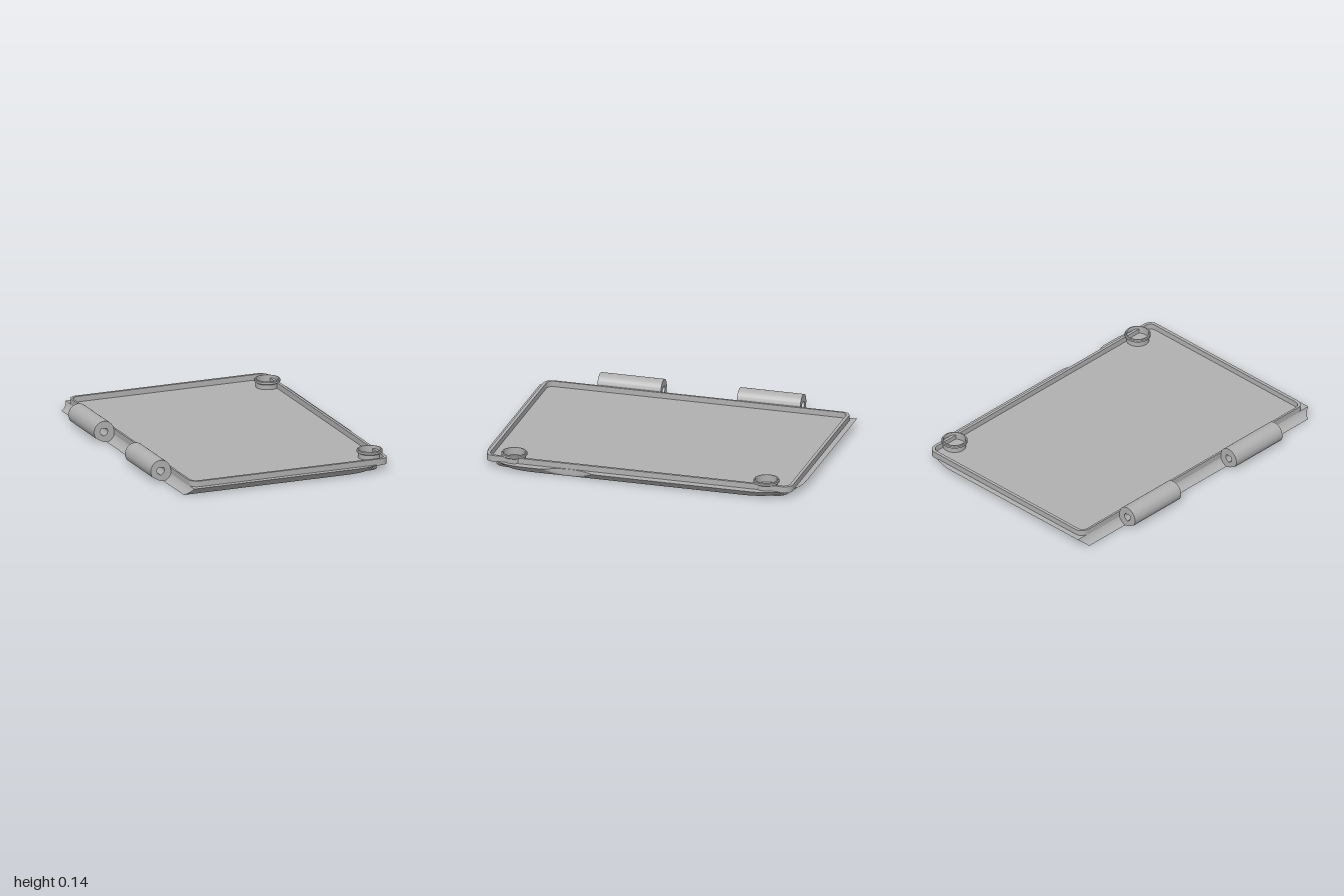
import * as THREE from 'three';
import { mergeGeometries, toCreasedNormals } from 'three/addons/utils/BufferGeometryUtils.js';

const EDGE_Y = 0.045; // height of the widest edge of the plate
const HINGE = { x: -0.677, y: 0.07, r: 0.065 };

// Plate outline at height y, as (x, z): flared sides, hollowed hinge edge, thumb notch.
function outline(y) {
  const inset = 0.05 * (1 - y / EDGE_Y);
  const xl = HINGE.x + Math.sqrt(0.0053 - (y - HINGE.y) ** 2);
  const xr = 0.737 - inset, zm = 1 - inset, a = 0.29, b = 0.3, p = 2 / 2.4;
  const half = [new THREE.Vector2(xl, -zm)];
  for (let i = 0; i <= 20; i++) {
    const t = (i / 20) * Math.PI / 2;
    half.push(new THREE.Vector2(
      xr - a + a * Math.max(0, Math.sin(t)) ** p,
      -zm + b - b * Math.max(0, Math.cos(t)) ** p));
  }
  const points = [...half];
  const z0 = -zm + b, steps = 60;
  for (let i = 1; i < steps; i++) {
    const z = z0 + (-2 * z0 * i) / steps;
    const notch = 0.69 + 0.05 * ((z - 0.43) / 0.165) ** 2;
    points.push(new THREE.Vector2(Math.min(xr, notch), z));
  }
  for (const v of half.reverse()) points.push(new THREE.Vector2(v.x, -v.y));
  return points;
}

// Wall through a stack of outlines.
function loft(heights) {
  const pos = [], idx = [];
  const rings = heights.map(outline), n = rings[0].length;
  rings.forEach((ring, k) => ring.forEach(v => pos.push(v.x, heights[k], v.y)));
  for (let k = 0; k < rings.length - 1; k++) {
    for (let i = 0; i < n; i++) {
      const a = k * n + i, b = k * n + (i + 1) % n;
      idx.push(a, a + n, b, b, a + n, b + n);
    }
  }
  const g = new THREE.BufferGeometry();
  g.setAttribute('position', new THREE.Float32BufferAttribute(pos, 3));
  g.setIndex(idx);
  return toCreasedNormals(g, 0.6);
}

// Rounded rectangle as a Shape or Path.
function roundRect(Type, x0, x1, zm, r) {
  const s = new Type();
  s.moveTo(x0 + r, -zm);
  s.lineTo(x1 - r, -zm);
  s.absarc(x1 - r, -zm + r, r, -Math.PI / 2, 0);
  s.lineTo(x1, zm - r);
  s.absarc(x1 - r, zm - r, r, 0, Math.PI / 2);
  s.lineTo(x0 + r, zm);
  s.absarc(x0 + r, zm - r, r, Math.PI / 2, Math.PI);
  s.lineTo(x0, -zm + r);
  s.absarc(x0 + r, -zm + r, r, Math.PI, Math.PI * 1.5);
  return s;
}

export function createModel() {
  const model = new THREE.Group();
  model.name = 'hingedLid';
  const grey = new THREE.MeshStandardMaterial({ color: 0xb0b0b0 });
  grey.name = 'grey plastic';
  const add = (name, geometry, parent = model) => {
    const mesh = new THREE.Mesh(geometry, grey);
    mesh.name = name;
    parent.add(mesh);
    return mesh;
  };

  // Plate: flared wall, flat top and a bottom frame round the patterned panel
  const plate = new THREE.Group();
  plate.name = 'plate';
  model.add(plate);
  add('plateWall', loft([0, 0.008, 0.016, 0.024, 0.032, EDGE_Y]), plate);
  const top = new THREE.Shape(outline(EDGE_Y).map(v => new THREE.Vector2(v.x, -v.y)));
  add('plateTop', new THREE.ShapeGeometry(top).rotateX(-Math.PI / 2).translate(0, EDGE_Y, 0), plate);
  const px0 = -0.6, px1 = 0.64, pz = 0.91, depth = 0.006;
  const bottom = new THREE.Shape(outline(0));
  bottom.holes.push(roundRect(THREE.Path, px0, px1, pz, 0.06));
  add('bottomFrame', new THREE.ShapeGeometry(bottom).rotateX(Math.PI / 2), plate);
  const frame = roundRect(THREE.Shape, px0 - 0.01, px1 + 0.01, pz + 0.01, 0.07);
  frame.holes.push(roundRect(THREE.Path, px0, px1, pz, 0.06));
  add('recessWall', new THREE.ExtrudeGeometry(frame, { depth, bevelEnabled: false })
    .rotateX(Math.PI / 2).translate(0, depth + 0.0005, 0), plate);
  add('recessPanel', new THREE.ShapeGeometry(roundRect(THREE.Shape, px0, px1, pz, 0.06))
    .rotateX(Math.PI / 2).translate(0, depth, 0), plate);

  // Interlaced relief rings on the underside
  const rings = [];
  const pitchX = 0.148, pitchZ = 0.166;
  for (let row = 0; row < 8; row++) {
    const count = row % 2 ? 10 : 11;
    for (let i = 0; i < count; i++) {
      const x = 0.02 + (row - 3.5) * pitchX, z = (i - (count - 1) / 2) * pitchZ;
      for (const r of [0.085, 0.045]) {
        rings.push(new THREE.TorusGeometry(r, 0.01, 4, 24).rotateX(Math.PI / 2)
          .scale(1, 0.55, 1).translate(x, depth, z));
      }
    }
  }
  add('undersideRelief', mergeGeometries(rings), plate);

  // Raised sealing rim on top
  const rim = roundRect(THREE.Shape, -0.61, 0.688, 0.965, 0.055);
  rim.holes.push(roundRect(THREE.Path, -0.597, 0.67, 0.945, 0.04));
  add('rim', toCreasedNormals(new THREE.ExtrudeGeometry(rim, { depth: 0.04, bevelEnabled: false, curveSegments: 8 })
    .rotateX(-Math.PI / 2).translate(0, 0.04, 0), 0.6));

  // Round cups at the two free corners
  const cup = [[0.07, 0.035], [0.07, 0.074], [0.079, 0.08], [0.079, 0.092], [0.075, 0.097],
    [0.068, 0.097], [0.066, 0.094], [0.066, 0.052], [0, 0.052]].map(([r, y]) => new THREE.Vector2(r, y));
  for (const side of [-1, 1]) {
    add(side > 0 ? 'frontCup' : 'backCup', toCreasedNormals(new THREE.LatheGeometry(cup, 40), 0.5))
      .position.set(0.63, 0, side * 0.795);
  }

  // Hinge barrels with a pointed bore, joined to the plate edge
  const { x: hx, y: hy, r: hr } = HINGE;
  const barrel = new THREE.Shape();
  barrel.moveTo(-0.6, 0.001);
  barrel.lineTo(-0.6, hy);
  barrel.lineTo(hx + hr, hy);
  barrel.absarc(hx, hy, hr, 0, Math.PI * 1.2, false);
  barrel.lineTo(hx - 0.01, 0.008);
  barrel.lineTo(hx + 0.012, 0.001);
  const bore = new THREE.Path();
  bore.moveTo(hx, hy + 0.034);
  bore.absarc(hx, hy, 0.025, Math.PI * 0.75, Math.PI * 1.25, false);
  bore.lineTo(hx, hy - 0.03);
  bore.absarc(hx, hy, 0.025, -Math.PI / 4, Math.PI / 4, false);
  barrel.holes.push(bore);
  for (const side of [-1, 1]) {
    add(side > 0 ? 'frontHinge' : 'backHinge', toCreasedNormals(
      new THREE.ExtrudeGeometry(barrel, { depth: 0.4, bevelEnabled: false, curveSegments: 24 })
        .translate(0, 0, side * 0.44 - 0.2), 0.5));
  }
  return model;
}
